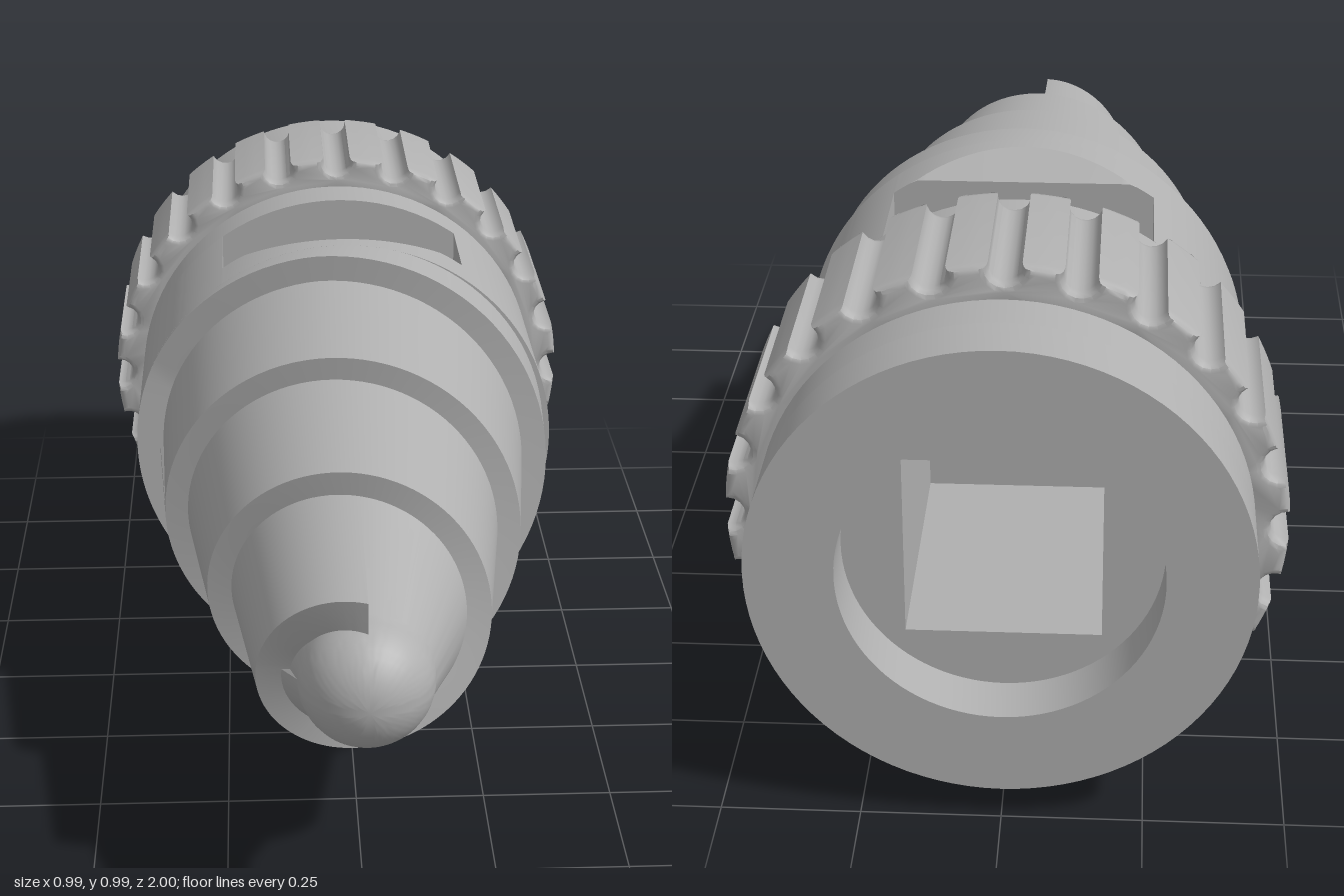
import * as THREE from 'three';
import { toCreasedNormals } from 'three/addons/utils/BufferGeometryUtils.js';

const CY = 0.495;   // height of the axis
const R = 0.435;    // body radius
const metal = new THREE.MeshStandardMaterial({ color: 0xb0b0b0 });
metal.name = 'grey metal';

function addMesh(group, name, geometry, crease = 0.5) {
  const mesh = new THREE.Mesh(toCreasedNormals(geometry, crease), metal);
  mesh.name = name;
  mesh.position.y = CY;
  group.add(mesh);
  return mesh;
}

function extrude(shape, z0, z1) {
  const g = new THREE.ExtrudeGeometry(shape, { depth: z1 - z0, bevelEnabled: false, curveSegments: 48 });
  return g.translate(0, 0, z0);
}

const disc = () => new THREE.Shape().absarc(0, 0, R, 0, Math.PI * 2);

// Joins equal-length cross-sections into one skin
function skin(sections) {
  const n = sections[0].length, index = [];
  for (let j = 0; j < sections.length - 1; j++) {
    for (let i = 0; i < n - 1; i++) {
      const a = j * n + i, b = a + n;
      index.push(a, a + 1, b, a + 1, b + 1, b);
    }
  }
  const g = new THREE.BufferGeometry();
  g.setAttribute('position', new THREE.Float32BufferAttribute(sections.flat(2), 3));
  g.setIndex(index);
  return g;
}

// Profile of the stepped spiral nose at f turns from its start
function noseProfile(f, withLastLip) {
  const lipZ = t => Math.max(-0.11, -0.13 + 0.325 * t);
  const lipR = t => Math.min(R, 0.455 - 0.088 * t);
  const pts = [[-0.11, R], [-0.11, Math.min(R, lipR(f) + 0.02 * f)]];
  for (let k = 0; k < 3; k++) {
    const t = f + k, z = lipZ(t);
    const step = k === 0 ? 0.045 + 0.01 * (1 - f) : 0.045;
    pts.push([z, lipR(t)], [z, lipR(t) - step]);
  }
  // core cone under the last lip
  const [z2, r2] = pts[pts.length - 1];
  const dome = z => Math.sqrt(Math.max(0, 0.0144 - (z - 0.88) ** 2));
  const core = z => z > 0.88 ? dome(z) : r2 + (0.12 - r2) * (z - z2) / (0.88 - z2);
  const z3 = withLastLip ? lipZ(f + 3) : 0.875;
  pts.push([z3, withLastLip ? lipR(f + 3) : core(z3)], [z3, core(z3)]);
  // rounded tip
  const zD = Math.max(0.88, z3), start = Math.asin((zD - 0.88) / 0.12);
  for (let i = 0; i <= 10; i++) {
    const a = start + (Math.PI / 2 - start) * i / 10;
    pts.push([0.88 + 0.12 * Math.sin(a), 0.12 * Math.cos(a)]);
  }
  return pts;
}

function noseGeometry() {
  const sections = [], steps = 96;
  const addSection = (f, last) => {
    const a = Math.PI - Math.PI * 2 * f;
    sections.push(noseProfile(f, last).map(([z, r]) => [r * Math.cos(a), r * Math.sin(a), z]));
  };
  for (let j = 0; j <= steps; j++) {
    const f = j / steps;
    if (f <= 0.25) addSection(f, true);
    if (f >= 0.25) addSection(f, false);
  }
  return skin(sections);
}

// Front wall of the window, chamfered at its top and bottom edges
function windowWallGeometry() {
  const sections = [];
  for (let j = 0; j <= 32; j++) {
    const x = -0.25 + 0.5 * j / 32;
    const arc = Math.sqrt(R * R - x * x), y = Math.min(arc, 0.383), z = -0.2 + arc - y;
    sections.push([
      [x, -arc, -0.11], [x, -arc, z], [x, -y, -0.2],
      [x, y, -0.2], [x, arc, z], [x, arc, -0.11],
    ]);
  }
  return skin(sections);
}

// Grip ring with round notches and softened edges
function gripGeometry() {
  const count = 24, outer = 0.496, notch = 0.029, pts = [];
  const half = notch / outer;
  for (let k = 0; k < count; k++) {
    const mid = Math.PI / 2 + k * Math.PI * 2 / count;
    const c = Math.cos(mid), s = Math.sin(mid);
    for (let i = 0; i <= 8; i++) {
      const a = Math.PI * i / 8;
      const radial = 0.491 - notch * Math.sin(a), side = -notch * Math.cos(a);
      pts.push(new THREE.Vector2(c * radial - s * side, s * radial + c * side));
    }
    for (let i = 0; i <= 3; i++) {
      const a = mid + half + (Math.PI * 2 / count - 2 * half) * i / 3;
      pts.push(new THREE.Vector2(outer * Math.cos(a), outer * Math.sin(a)));
    }
  }
  const shape = new THREE.Shape(pts);
  shape.holes.push(new THREE.Path().absarc(0, 0, 0.4, 0, Math.PI * 2, true));
  const g = new THREE.ExtrudeGeometry(shape, {
    depth: 0.28, bevelThickness: 0.02, bevelSize: 0.014, bevelOffset: -0.014,
    bevelSegments: 3, curveSegments: 24,
  });
  return g.translate(0, 0, -0.795);
}

export function createModel() {
  const model = new THREE.Group();
  model.name = 'stepped spiral tool';

  // Back collar around the round recess
  const collar = disc();
  collar.holes.push(new THREE.Path().absarc(0, 0, 0.28, 0, Math.PI * 2, true));
  addMesh(model, 'backCollar', extrude(collar, -1, -0.9));

  // Body with square drive socket
  const socket = disc(), h = 0.172;
  socket.holes.push(new THREE.Path([
    new THREE.Vector2(-h, -h), new THREE.Vector2(-h, h),
    new THREE.Vector2(h, h), new THREE.Vector2(h, -h),
  ]));
  addMesh(model, 'socketBody', extrude(socket, -0.9, -0.4));

  // Cheeks on both sides of the through window
  const a = Math.acos(0.25 / R);
  const cheek = new THREE.Shape().absarc(0, 0, R, -a, a);
  for (const [name, turn] of [['leftWindowCheek', 0], ['rightWindowCheek', Math.PI]]) {
    addMesh(model, name, extrude(cheek, -0.4, -0.11)).rotation.z = turn;
  }
  addMesh(model, 'windowFrontWall', windowWallGeometry());

  addMesh(model, 'gripRing', gripGeometry(), 0.6);
  addMesh(model, 'spiralNose', noseGeometry(), 0.6);
  return model;
}
